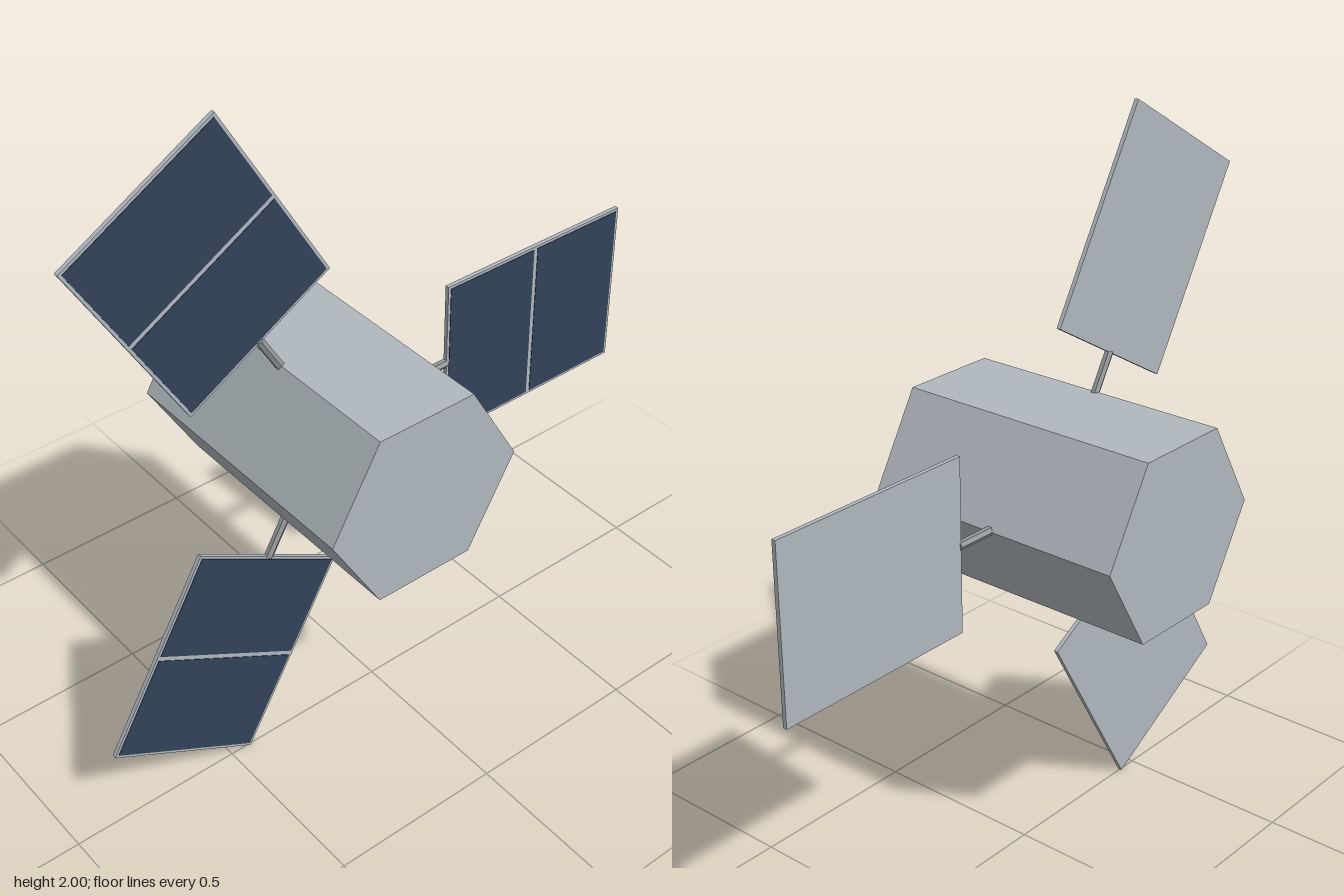
import * as THREE from 'three';

const metal = new THREE.MeshStandardMaterial({ name: 'silverGrey', color: 0xb0b8be, flatShading: true });
const strut = new THREE.MeshStandardMaterial({ name: 'strutGrey', color: 0x94989c, flatShading: true });
const navy = new THREE.MeshStandardMaterial({ name: 'solarNavy', color: 0x32425a, flatShading: true });

function add(parent, name, geometry, material, x = 0, y = 0, z = 0) {
  const mesh = new THREE.Mesh(geometry, material);
  mesh.name = name;
  mesh.position.set(x, y, z);
  parent.add(mesh);
  return mesh;
}

// One wing pointing along +x from the body axis
function createWing() {
  const wing = new THREE.Group();
  wing.name = 'solarWing';
  const inner = 0.398, outer = 1.012, width = 0.49, depth = 0.012;
  const mid = (inner + outer) / 2, length = outer - inner;

  // Six-sided arm from the hull to the panel
  const armStart = 0.24, armEnd = inner + 0.004;
  const arm = new THREE.CylinderGeometry(0.0125, 0.0125, armEnd - armStart, 6).rotateZ(-Math.PI / 2);
  add(wing, 'arm', arm, strut, (armStart + armEnd) / 2);

  // Backing frame with two cells on the front
  add(wing, 'panelFrame', new THREE.BoxGeometry(length, width, depth), metal, mid);
  const border = 0.008, gap = 0.013;
  const cellLength = (length - 2 * border - gap) / 2;
  for (const side of [-1, 1]) {
    add(wing, 'solarCell', new THREE.BoxGeometry(cellLength, width - 2 * border, 0.002), navy,
      mid + side * (cellLength + gap) / 2, 0, depth / 2 + 0.0005);
  }
  return wing;
}

export function createModel() {
  const model = new THREE.Group();
  model.name = 'satellite';
  const hub = new THREE.Group();
  hub.name = 'hub';
  hub.position.set(-0.147, 1, 0);
  model.add(hub);

  // Hexagonal hull lying along z, flat side up
  const hull = new THREE.CylinderGeometry(0.289, 0.289, 0.78, 6).rotateX(Math.PI / 2).rotateZ(Math.PI / 2);
  add(hub, 'hull', hull, metal);

  // Three wings evenly spaced around the hull
  for (let i = 0; i < 3; i++) {
    const wing = createWing();
    wing.rotation.z = (i * Math.PI * 2) / 3;
    hub.add(wing);
  }
  return model;
}
